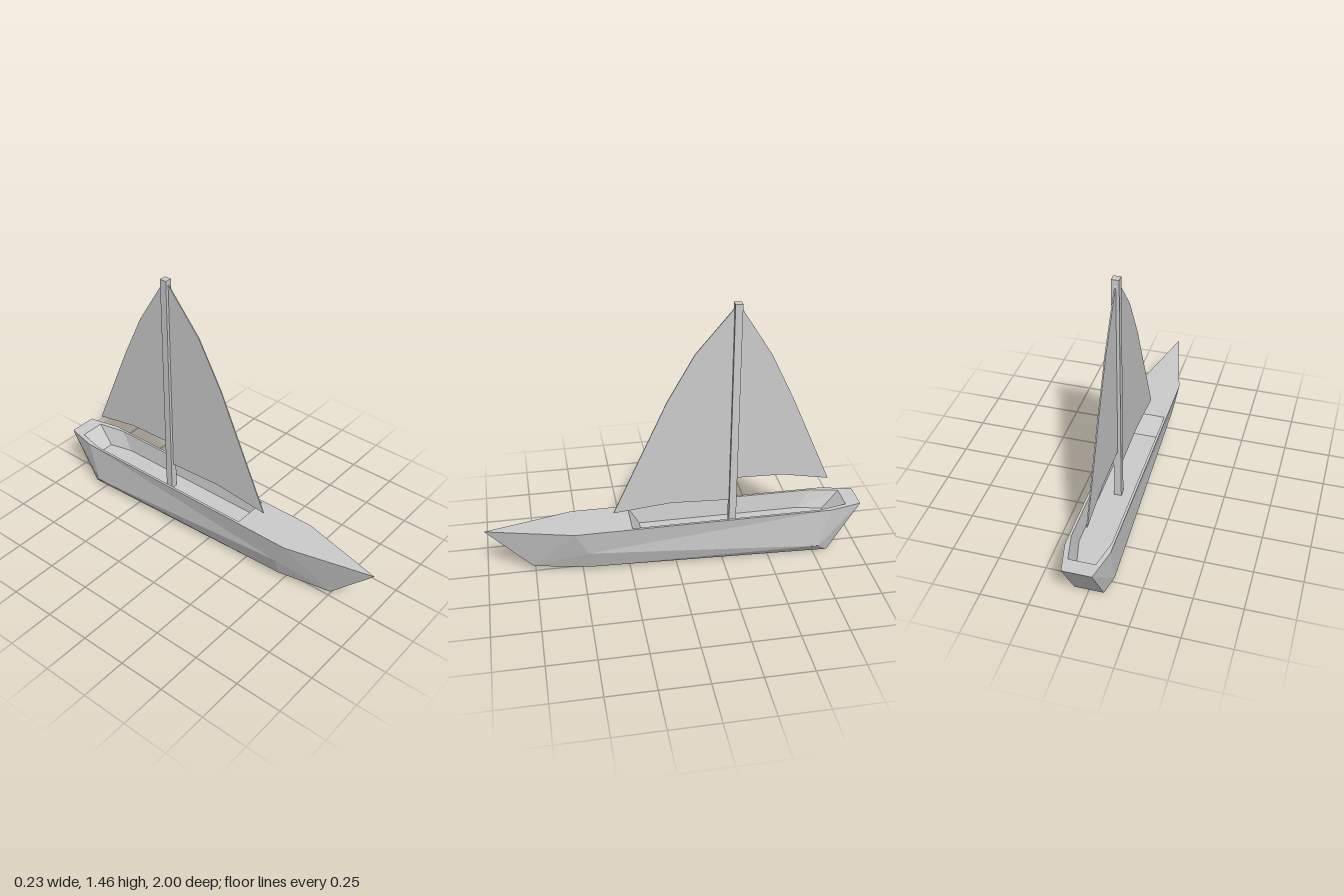
import * as THREE from 'three';

const grey = new THREE.MeshStandardMaterial({ color: 0xcccccc, flatShading: true });
const DECK_Y = 0.28, FLOOR_Y = 0.18, MAST_Z = -0.31;

// Half outlines as [x, z] from fore to aft
const deckHalf = [[0, 1], [0.113, 0.54], [0.113, -0.83], [0.075, -1]];
const rimHalf = [[0.1, 0.24], [0.1, -0.77], [0.068, -0.92]];
const floorHalf = [[0.088, 0.18], [0.088, -0.7], [0.056, -0.83]];

// Closes a half outline by mirroring it across x = 0
const mirrored = half => [...half, ...half.filter(p => p[0] > 0).reverse().map(([x, z]) => [-x, z])];

function addMesh(group, name, geometry, material = grey) {
  const mesh = new THREE.Mesh(geometry, material);
  mesh.name = name;
  group.add(mesh);
  return mesh;
}

// Flat-faced geometry from a list of four-cornered panels
function panelGeometry(panels) {
  const positions = [];
  const triangle = new THREE.Triangle();
  for (const [a, b, c, d] of panels) {
    for (const tri of [[a, b, d], [b, c, d]]) {
      triangle.set(...tri.map(p => new THREE.Vector3(...p)));
      if (triangle.getArea() > 1e-7) positions.push(...tri.flat());
    }
  }
  const geometry = new THREE.BufferGeometry();
  geometry.setAttribute('position', new THREE.Float32BufferAttribute(positions, 3));
  geometry.computeVertexNormals();
  return geometry;
}

// Horizontal sheet facing up, with an optional opening
function levelSheet(outline, y, opening) {
  const toPoints = list => list.map(([x, z]) => new THREE.Vector2(x, -z));
  const shape = new THREE.Shape(toPoints(outline));
  if (opening) shape.holes.push(new THREE.Path(toPoints(opening)));
  return new THREE.ShapeGeometry(shape).rotateX(-Math.PI / 2).translate(0, y, 0);
}

// Hull skin: deck edge, chine and bottom edge at each station, bow to transom
function hullGeometry() {
  const keelTip = [0, 0.03, 0.76], sternFoot = [0.075, 0, -0.83];
  const chines = [keelTip, [0.09, 0.14, 0.47], [0.113, 0.055, -0.77], sternFoot];
  const bottoms = [keelTip, [0.05, 0.025, 0.47], sternFoot, sternFoot];
  const rings = deckHalf.map(([x, z], i) => {
    const half = [[x, DECK_Y, z], chines[i], bottoms[i]];
    return [...half, ...half.map(([px, py, pz]) => [-px, py, pz]).reverse()];
  });
  const panels = [];
  for (let i = 0; i < rings.length - 1; i++) {
    const fore = rings[i], aft = rings[i + 1];
    for (let j = 0; j < 5; j++) {
      // Mirrored corner order keeps the two sides symmetric
      panels.push(j < 3
        ? [fore[j], fore[j + 1], aft[j + 1], aft[j]]
        : [aft[j], fore[j], fore[j + 1], aft[j + 1]]);
    }
  }
  const last = rings[rings.length - 1];
  panels.push([last[0], last[1], last[4], last[5]]);
  return panelGeometry(panels);
}

// Sloping inner walls of the cockpit
function wellGeometry() {
  const top = mirrored(rimHalf).map(([x, z]) => [x, DECK_Y, z]);
  const low = mirrored(floorHalf).map(([x, z]) => [x, FLOOR_Y, z]);
  return panelGeometry(top.map((p, i) => {
    const n = (i + 1) % top.length;
    return [top[n], low[n], low[i], p];
  }));
}

// Thin sail cut from [z, y] points
function sailGeometry(points) {
  const thickness = 0.006;
  const shape = new THREE.Shape(points.map(p => new THREE.Vector2(...p)));
  return new THREE.ExtrudeGeometry(shape, { depth: thickness, bevelEnabled: false })
    .translate(0, 0, -thickness / 2)
    .rotateY(-Math.PI / 2);
}

export function createModel() {
  const boat = new THREE.Group();
  boat.name = 'sailboat';

  // Hull and cockpit
  addMesh(boat, 'hull', hullGeometry());
  addMesh(boat, 'deck', levelSheet(mirrored(deckHalf), DECK_Y, mirrored(rimHalf)));
  addMesh(boat, 'cockpitWalls', wellGeometry());
  addMesh(boat, 'cockpitFloor', levelSheet(mirrored(floorHalf), FLOOR_Y));

  // Mast
  const mastTop = 1.455, mastHeight = mastTop - FLOOR_Y;
  const mast = addMesh(boat, 'mast', new THREE.BoxGeometry(0.038, mastHeight, 0.038));
  mast.position.set(0, FLOOR_Y + mastHeight / 2, MAST_Z);

  // Sails
  addMesh(boat, 'foreSail', sailGeometry([
    [-0.3, 1.44], [-0.1, 1.2], [0.04, 0.95], [0.325, 0.32], [0.02, 0.35], [-0.3, 0.335]]));
  addMesh(boat, 'aftSail', sailGeometry([
    [-0.32, 1.44], [-0.49, 1.17], [-0.61, 0.92], [-0.83, 0.415], [-0.58, 0.463], [-0.32, 0.47]]));

  return boat;
}
